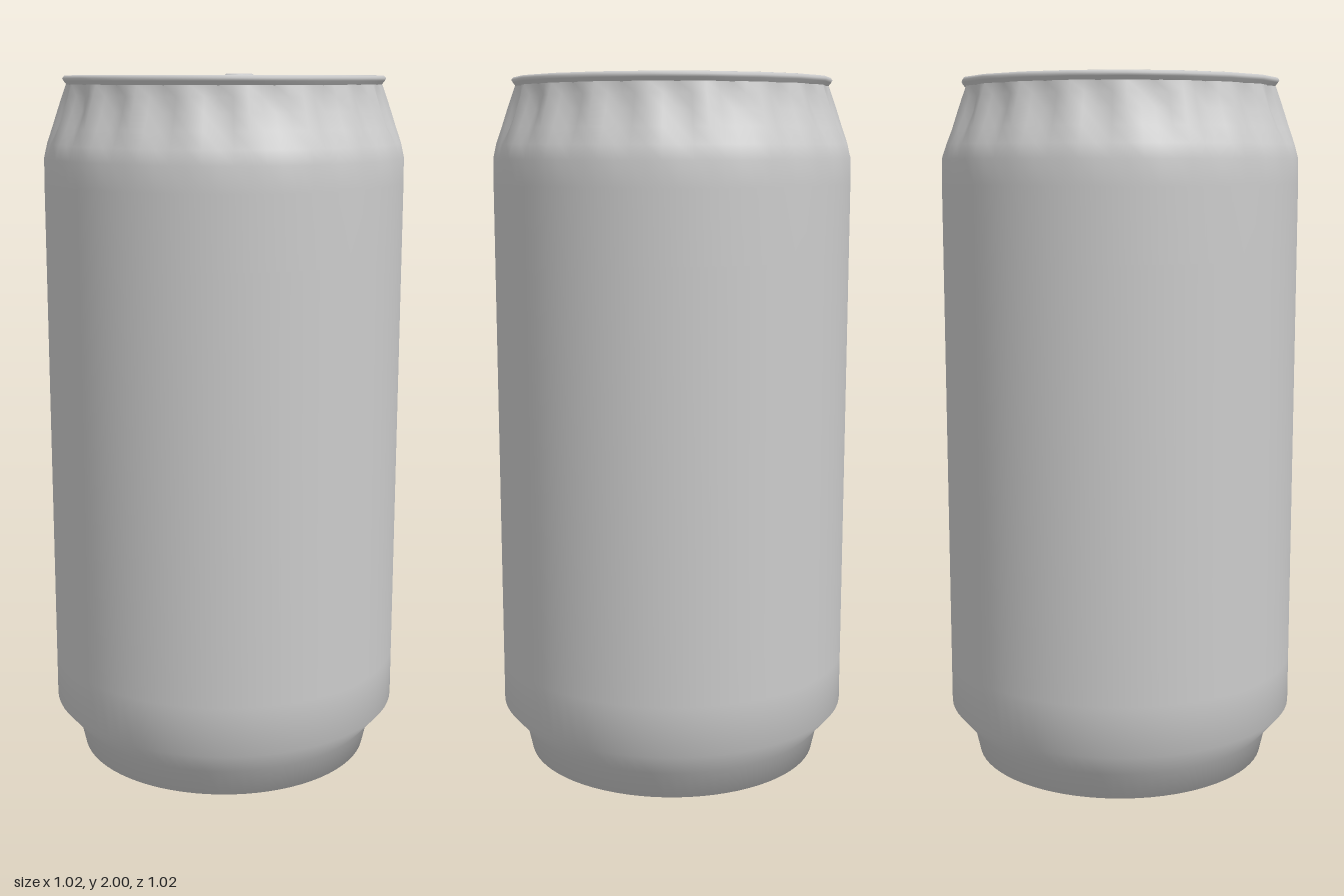
import * as THREE from 'three';
import { mergeVertices, toCreasedNormals } from 'three/addons/utils/BufferGeometryUtils.js';

const PLEATS = 19;
const material = new THREE.MeshStandardMaterial({ color: 0xcccccc });

function addMesh(parent, name, geometry) {
  const mesh = new THREE.Mesh(geometry, material);
  mesh.name = name;
  parent.add(mesh);
  return mesh;
}

// Revolves [radius, height] points; warp(vertex) may then move each vertex.
function revolve(profile, sides, warp) {
  let g = new THREE.LatheGeometry(profile.map(([r, y]) => new THREE.Vector2(r, y)), sides);
  g.deleteAttribute('normal');
  g.deleteAttribute('uv');
  const pos = g.attributes.position;
  const v = new THREE.Vector3();
  for (let i = 0; warp && i < pos.count; i++) {
    v.fromBufferAttribute(pos, i);
    warp(v);
    pos.setXYZ(i, v.x, v.y, v.z);
  }
  g = mergeVertices(g, 1e-5);
  g.computeVertexNormals();
  return g;
}

// Pulls the vertices between two pleat ridges inwards by a share of the radius.
function pleat(v, depth) {
  const ridge = 0.5 - 0.5 * Math.cos(PLEATS * Math.atan2(v.x, v.z));
  const k = 1 - depth * (1 - ridge);
  v.x *= k;
  v.z *= k;
}

// Rounded slot outline running along x.
function slot(path, x0, x1, r) {
  path.absarc(x1, 0, r, -Math.PI / 2, Math.PI / 2, false);
  path.absarc(x0, 0, r, Math.PI / 2, Math.PI * 1.5, false);
  path.closePath();
  return path;
}

function createTab() {
  const tab = new THREE.Group();
  tab.name = 'pullTab';
  const bevel = 0.01;

  // Ring plate with a finger hole and a round rivet hole
  const shape = slot(new THREE.Shape(), -0.162, 0.066, 0.084);
  const finger = new THREE.Path();
  finger.moveTo(-0.195, -0.045);
  finger.quadraticCurveTo(-0.215, 0, -0.195, 0.045);
  finger.lineTo(-0.183, 0.062);
  finger.lineTo(-0.085, 0.062);
  finger.quadraticCurveTo(-0.07, 0, -0.085, -0.062);
  finger.lineTo(-0.183, -0.062);
  finger.closePath();
  const rivetHole = new THREE.Path();
  rivetHole.absarc(0.065, 0, 0.082, 0, Math.PI * 2, true);
  shape.holes.push(finger, rivetHole);
  const plate = new THREE.ExtrudeGeometry(shape, {
    depth: 0.006, bevelThickness: bevel, bevelSize: bevel, bevelSegments: 3, curveSegments: 10,
  });
  plate.rotateX(-Math.PI / 2).translate(0, 1.968, 0);
  addMesh(tab, 'tabPlate', toCreasedNormals(plate, 0.7));

  // Tongue that ties the plate to the rivet
  const tongue = new THREE.Shape();
  tongue.absarc(0.06, 0, 0.062, -2.5, 2.5, false);
  tongue.lineTo(-0.03, 0.035);
  tongue.lineTo(-0.03, -0.035);
  tongue.closePath();
  const tongueGeometry = new THREE.ExtrudeGeometry(tongue, { depth: 0.01, bevelEnabled: false, curveSegments: 10 });
  tongueGeometry.rotateX(-Math.PI / 2).translate(0, 1.965, 0);
  addMesh(tab, 'tabTongue', toCreasedNormals(tongueGeometry, 0.7));

  // Rivet
  const rivet = revolve([[0.036, 1.93], [0.036, 1.975], [0.045, 1.982], [0.045, 1.992], [0.036, 2], [0, 2]], 14);
  addMesh(tab, 'rivet', rivet).position.set(0.055, 0, 0);
  return tab;
}

export function createModel() {
  const can = new THREE.Group();
  can.name = 'drinkCan';

  // Domed underside, foot and wall
  const wall = [
    [0, 0.13], [0.1, 0.118], [0.2, 0.095], [0.31, 0.055], [0.39, 0.012], [0.43, 0],
    [0.448, 0.08], [0.512, 0.155], [0.512, 0.3], [0.512, 1.5], [0.512, 1.7],
  ];
  // Shoulder rings: radius, height, pleat depth
  const shoulder = [
    [0.511, 1.77, 0], [0.502, 1.81, 0.012], [0.486, 1.855, 0.035], [0.471, 1.9, 0.05],
    [0.457, 1.94, 0.045], [0.446, 1.97, 0.02],
  ];
  addMesh(can, 'body', revolve([...wall, ...shoulder], PLEATS * 4, (v) => {
    const ring = shoulder.find(([, y]) => Math.abs(y - v.y) < 0.001);
    if (ring) pleat(v, ring[2]);
  }));

  // Rolled rim with straight facets
  const rim = [
    [0.442, 1.967], [0.452, 1.98], [0.456, 1.987], [0.45, 1.994], [0.44, 1.995], [0.431, 1.988], [0.424, 1.976],
  ];
  addMesh(can, 'rim', revolve(rim, PLEATS * 2, (v) => pleat(v, 0.014)));

  // Lid panel with a slot-shaped recess under the tab
  const panel = [[0.426, 1.978], [0.415, 1.97], [0.4, 1.968], [0.385, 1.972], [0.37, 1.975]];
  for (let r = 0.35; r > 0.001; r -= 0.025) panel.push([r, 1.975]);
  panel.push([0, 1.975]);
  addMesh(can, 'lid', revolve(panel, PLEATS * 2, (v) => {
    const d = Math.hypot(v.x - THREE.MathUtils.clamp(v.x, -0.16, 0.16), v.z);
    v.y -= 0.033 * (1 - THREE.MathUtils.smoothstep(d, 0.1, 0.22));
  }));

  // Raised crescent around the opening
  const crescent = new THREE.TorusGeometry(0.1, 0.02, 8, 20, Math.PI * 1.1);
  crescent.rotateZ(-Math.PI * 0.55).rotateX(-Math.PI / 2).scale(1, 0.4, 1);
  addMesh(can, 'openingRidge', crescent).position.set(0.145, 1.944, 0);

  can.add(createTab());
  return can;
}
